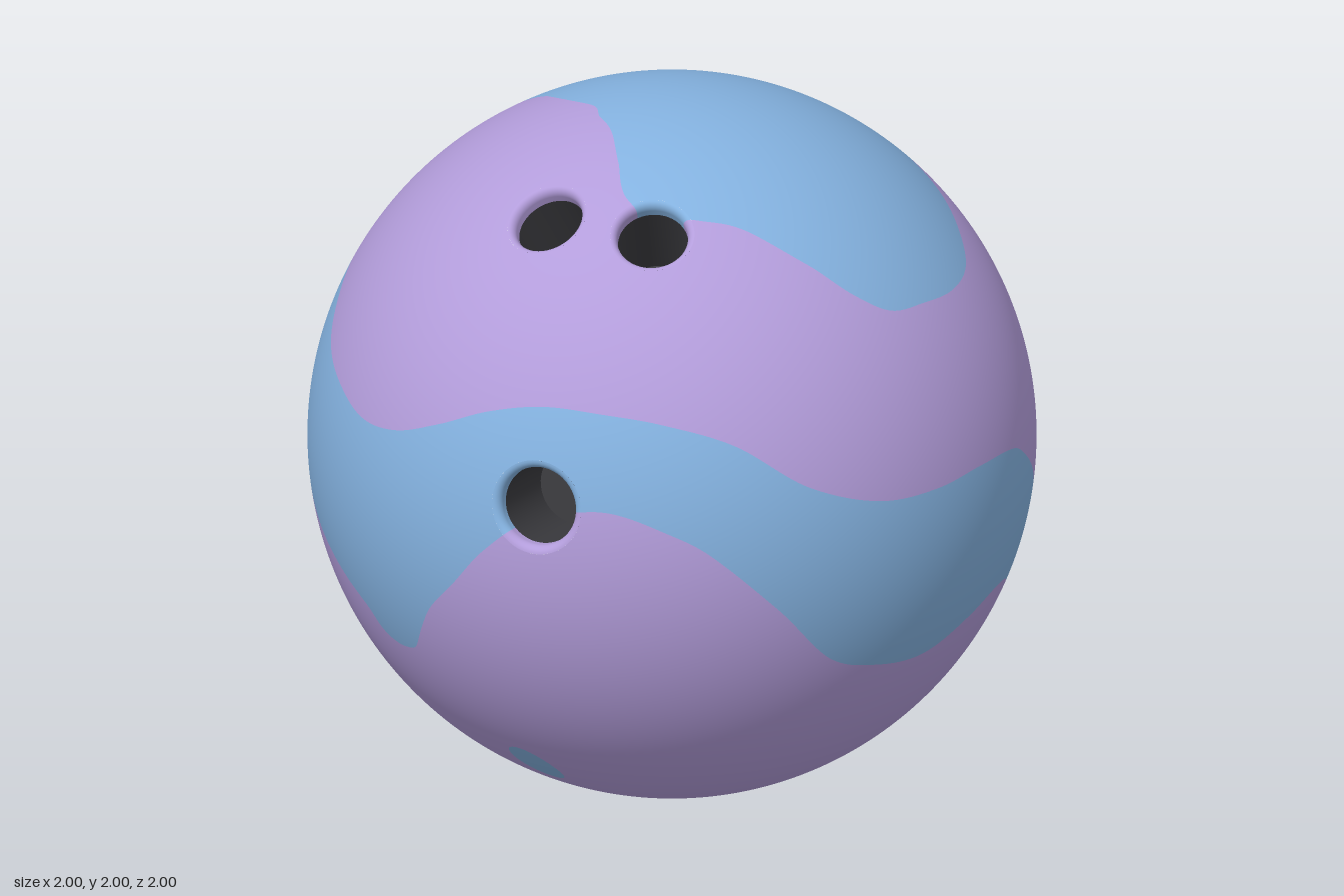
import * as THREE from 'three';

const purple = new THREE.MeshStandardMaterial({ color: 0xb39ddb });
const blue = new THREE.MeshStandardMaterial({ color: 0x84b2e0 });
const charcoal = new THREE.MeshStandardMaterial({ color: 0x3a3a3e });
purple.name = 'purple';
blue.name = 'blue';
charcoal.name = 'charcoal';

// Smooth closed function of an angle in degrees through [angle, value] points
function ring(points) {
  const p = points.map(([a, v]) => [(a + 360) % 360, v]).sort((a, b) => a[0] - b[0]);
  const n = p.length;
  const at = (i) => {
    const turn = Math.floor(i / n);
    return [p[i - turn * n][0] + 360 * turn, p[i - turn * n][1]];
  };
  return (angle) => {
    const a = (angle + 720) % 360;
    let i = -1;
    while (i + 1 < n && p[i + 1][0] <= a) i++;
    const [p0, p1, p2, p3] = [at(i - 1), at(i), at(i + 1), at(i + 2)];
    const h = p2[0] - p1[0], t = (a - p1[0]) / h;
    const m1 = h * (p2[1] - p0[1]) / (p2[0] - p0[0]);
    const m2 = h * (p3[1] - p1[1]) / (p3[0] - p1[0]);
    const t2 = t * t, t3 = t2 * t;
    return (2 * t3 - 3 * t2 + 1) * p1[1] + (t3 - 2 * t2 + t) * m1
      + (3 * t2 - 2 * t3) * p2[1] + (t3 - t2) * m2;
  };
}

// Swirl edges: angle around the ball (0 = front, 90 = left) and height
const bandTop = ring([
  [-90, 0.14], [-80, 0.28], [-70, 0.41], [-61, 0.45], [-50.5, 0.42], [-39.5, 0.33], [-28, 0.28],
  [-18, 0.25], [-9, 0.27], [0, 0.33], [9.4, 0.4], [19.5, 0.44], [30, 0.44], [41.4, 0.42],
  [53.8, 0.36], [65.7, 0.23], [78.3, 0.15], [90, 0.13], [101.6, 0.13], [113.7, 0.1], [120, 0.03],
  [127, -0.08], [136.8, -0.28], [148.3, -0.45], [165, -0.54], [181, -0.56], [201, -0.525],
  [215, -0.52], [230, -0.52], [242.5, -0.464], [252, -0.333], [257.3, -0.183], [262, -0.027],
]);
const bandBottom = ring([
  [-77.5, 0.025], [-68.5, 0.04], [-61.7, 0.02], [-53.2, -0.04], [-44.8, -0.12], [-34.1, -0.2],
  [-24.5, -0.27], [-18.5, -0.32], [-15.7, -0.37], [-12.5, -0.39], [-9.4, -0.39], [-6.2, -0.37],
  [-3, -0.29], [0, -0.21], [5.8, -0.1], [11.5, 0.02], [19, 0.13], [28.5, 0.18], [34, 0.18],
  [41, 0.14], [48.7, 0.07], [59.8, -0.11], [69.8, -0.3], [79.5, -0.365], [91.2, -0.39],
  [103, -0.34], [111.3, -0.31], [118.5, -0.33], [125.4, -0.405], [133.7, -0.565], [150.6, -0.73],
  [180, -0.8], [216, -0.787], [234.7, -0.75], [253.5, -0.66], [260.7, -0.487], [265.4, -0.309],
  [271.6, -0.098],
]);
const capEdge = ring([
  [0, 0.971], [17, 0.942], [26.6, 0.894], [36, 0.868], [51, 0.859], [64.4, 0.832], [77, 0.745],
  [84.7, 0.658], [91.4, 0.6], [100.6, 0.581], [111.3, 0.563], [121.6, 0.57], [132.4, 0.619],
  [143, 0.661], [155, 0.698], [168.4, 0.667], [177, 0.6], [184, 0.428], [190, 0.24], [196, 0.063],
  [203, -0.042], [212, -0.076], [221.4, -0.074], [232.3, 0], [241, 0.174], [249.3, 0.356],
  [256.4, 0.527], [262.9, 0.69], [273, 0.852], [280, 0.915], [303, 0.971], [331, 0.978],
]);
// Radius of the spot inside the cap, seen from above
const spotRadius = ring([
  [8.6, 0.268], [30.6, 0.285], [57.4, 0.279], [87, 0.26], [130, 0.262], [161, 0.275], [189, 0.253],
  [229.6, 0.262], [250.7, 0.272], [273, 0.28], [296.6, 0.268], [331.4, 0.25],
]);
const degrees = (x, z) => THREE.MathUtils.radToDeg(Math.atan2(x, z));

// Positive where the ball is blue
function blueField(point) {
  const { x, y, z } = point.clone().normalize();
  const a = degrees(x, z);
  const band = Math.min(bandTop(a) - y, y - bandBottom(a));
  const dx = x + 0.46, dz = z + 0.52;
  const outsideSpot = y > 0 ? Math.hypot(dx, dz) - spotRadius(degrees(dx, dz)) : 1;
  const cap = Math.min(y - capEdge(a), outsideSpot);
  const dot = z > 0 ? 0.07 * (1 - Math.hypot((x - 0.1) / 0.064, (y + 0.745) / 0.07)) : -1;
  return Math.max(band, cap, dot);
}

// Geometry to a list of triangles with corner points and normals
function toTriangles(geometry) {
  const g = geometry.index ? geometry.toNonIndexed() : geometry;
  const { position, normal } = g.attributes;
  const corner = (i) => ({
    p: new THREE.Vector3().fromBufferAttribute(position, i),
    n: new THREE.Vector3().fromBufferAttribute(normal, i),
  });
  const triangles = [];
  for (let i = 0; i < position.count; i += 3) triangles.push([corner(i), corner(i + 1), corner(i + 2)]);
  return triangles;
}

// Cuts triangles along the zero line of a field
function split(triangles, field) {
  const inside = [], outside = [];
  const crossing = (a, b, fa) => {
    let lo = 0, hi = 1;
    const p = new THREE.Vector3();
    for (let k = 0; k < 12; k++) {
      const mid = (lo + hi) / 2;
      if ((field(p.lerpVectors(a.p, b.p, mid)) > 0) === (fa > 0)) lo = mid;
      else hi = mid;
    }
    return { p: a.p.clone().lerp(b.p, lo), n: a.n.clone().lerp(b.n, lo).normalize() };
  };
  const fan = (polygon, list) => {
    for (let i = 1; i + 1 < polygon.length; i++) list.push([polygon[0], polygon[i], polygon[i + 1]]);
  };
  for (const tri of triangles) {
    const f = tri.map((c) => field(c.p));
    const a = [], b = [];
    for (let i = 0; i < 3; i++) {
      const j = (i + 1) % 3;
      (f[i] > 0 ? a : b).push(tri[i]);
      if ((f[i] > 0) !== (f[j] > 0)) {
        const c = crossing(tri[i], tri[j], f[i]);
        a.push(c);
        b.push(c);
      }
    }
    fan(a, inside);
    fan(b, outside);
  }
  return [inside, outside];
}

function triangleMesh(triangles, material, name) {
  const g = new THREE.BufferGeometry();
  const corners = triangles.flat();
  g.setAttribute('position', new THREE.Float32BufferAttribute(corners.flatMap((c) => c.p.toArray()), 3));
  g.setAttribute('normal', new THREE.Float32BufferAttribute(corners.flatMap((c) => c.n.toArray()), 3));
  const mesh = new THREE.Mesh(g, material);
  mesh.name = name;
  return mesh;
}

// Adds the same purple and blue swirl to any part of the surface
function addPainted(group, triangles, name) {
  const [blueSide, purpleSide] = split(triangles, blueField);
  if (blueSide.length) group.add(triangleMesh(blueSide, blue, name + 'Blue'));
  if (purpleSide.length) group.add(triangleMesh(purpleSide, purple, name + 'Purple'));
}

export function createModel() {
  const model = new THREE.Group();
  model.name = 'bowlingBall';
  const ball = new THREE.Group();
  ball.name = 'ball';
  ball.position.y = 1;
  model.add(ball);

  const holes = [
    { name: 'thumbHole', dir: [0.345, 0.175, 0.922], r: 0.109, outer: 0.132 },
    { name: 'rightFingerHole', dir: [0.04, 0.832, 0.55], r: 0.097, outer: 0.116 },
    { name: 'leftFingerHole', dir: [0.33, 0.832, 0.435], r: 0.097, outer: 0.116 },
  ];

  let shell = toTriangles(new THREE.IcosahedronGeometry(1, 58));
  for (const { name, dir, r, outer } of holes) {
    const axis = new THREE.Vector3(...dir).normalize();
    const turn = new THREE.Quaternion().setFromUnitVectors(new THREE.Vector3(0, 1, 0), axis);
    const lathe = (points) => new THREE.LatheGeometry(
      points.map(([x, y]) => new THREE.Vector2(x, y)), 48).applyQuaternion(turn);

    // Opening in the shell
    shell = split(shell, (p) => (p.dot(axis) > 0
      ? Math.sqrt(Math.max(0, p.lengthSq() - p.dot(axis) ** 2)) - outer : 1))[0];

    // Rounded rim
    const top = Math.sqrt(1 - outer * outer), rim = [];
    for (let i = 0; i <= 8; i++) {
      const a = (i / 8) * Math.PI / 2;
      rim.push([outer - (outer - r) * Math.sin(a), top - 0.025 * (1 - Math.cos(a))]);
    }
    rim.push([r, top - 0.045]);
    addPainted(ball, toTriangles(lathe(rim)), name + 'Rim');

    // Dark bore and its floor
    const wall = new THREE.Mesh(lathe([[r, top - 0.045], [r, top - 0.3]]), charcoal);
    wall.name = name + 'Wall';
    const floor = new THREE.Mesh(lathe([[r, top - 0.3], [0, top - 0.3]]), charcoal);
    floor.name = name + 'Floor';
    ball.add(wall, floor);
  }
  addPainted(ball, shell, 'shell');
  return model;
}
